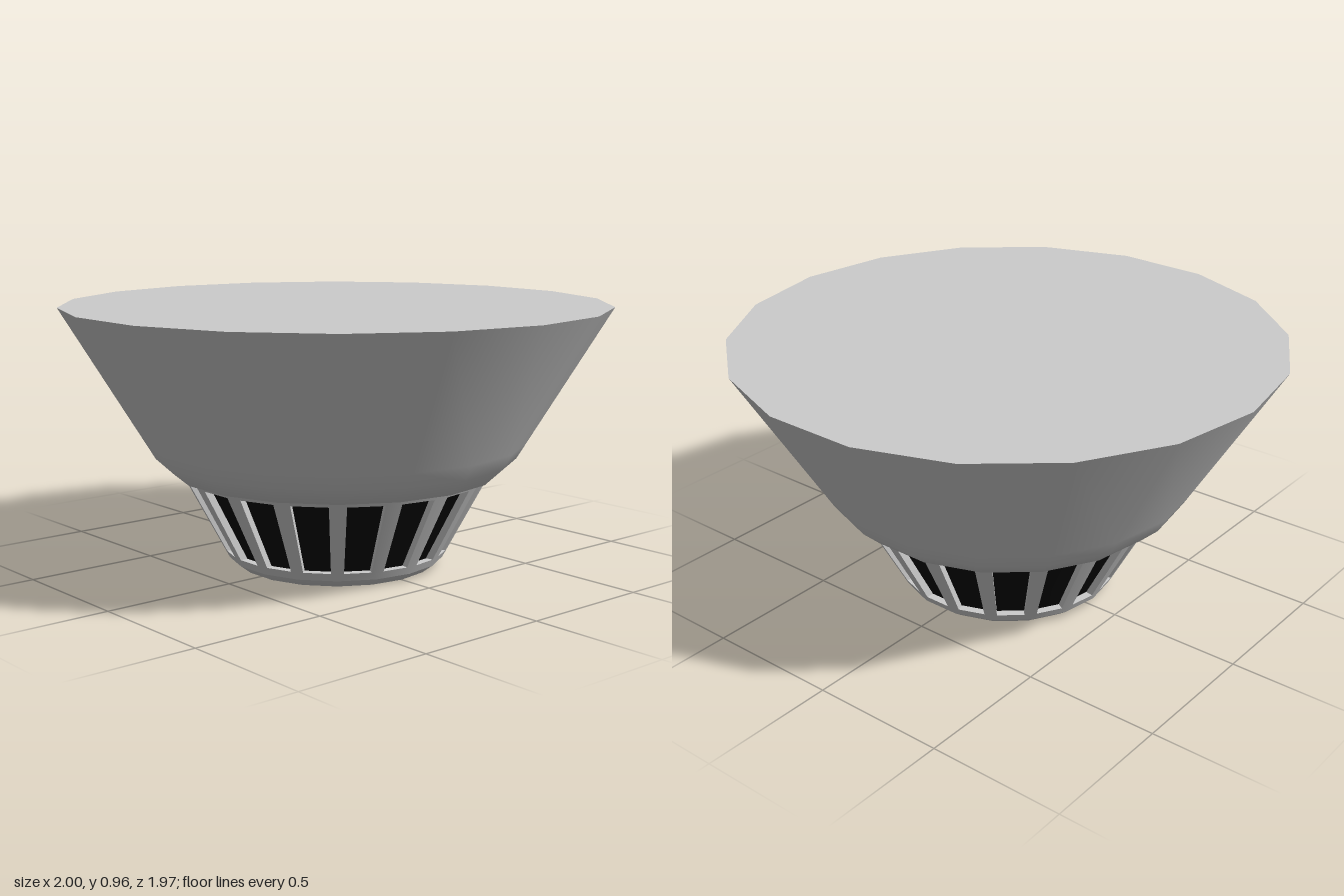
import * as THREE from 'three';
import { mergeGeometries } from 'three/addons/utils/BufferGeometryUtils.js';

const SIDES = 18;
const STEP = (Math.PI * 2) / SIDES;
const HALF = STEP / 2;

// Neck cone
const Y0 = 0.03, Y1 = 0.35, R0 = 0.4, R1 = 0.57;
const SLOPE = (R1 - R0) / (Y1 - Y0);
const neckRadius = (y) => R0 + (y - Y0) * SLOPE;

// Windows in the neck
const WIN_LOW = 0.06, WIN_HIGH = 0.33, WIN_FRACTION = 0.68, DEPTH = 0.03;

// Eighteen-sided turned surface with a flat side to the front
function turned(profile) {
  const points = profile.map(([r, y]) => new THREE.Vector2(r, y));
  return new THREE.LatheGeometry(points, SIDES, HALF);
}

// Point on side k of the neck: u runs from -1 to 1 across the side
function neckPoint(k, u, y, inset = 0) {
  const phi = k * STEP, r = neckRadius(y);
  const out = r * Math.cos(HALF) - inset;
  const across = u * r * Math.sin(HALF);
  return new THREE.Vector3(
    out * Math.sin(phi) + across * Math.cos(phi), y,
    out * Math.cos(phi) - across * Math.sin(phi));
}

// Rounded cone normal at the same place
function neckNormal(k, u) {
  const a = k * STEP + u * HALF;
  return new THREE.Vector3(Math.sin(a), -SLOPE, Math.cos(a)).normalize();
}

// Neck with a framed opening in every side
function cageGeometry() {
  const positions = [], normals = [];
  const quad = (p, n) => {
    for (const i of [0, 1, 2, 0, 2, 3]) {
      positions.push(...p[i].toArray());
      normals.push(...n[i].toArray());
    }
  };
  const corners = (k, u, low, high, inset) =>
    [[-u, low], [u, low], [u, high], [-u, high]].map(([a, y]) => neckPoint(k, a, y, inset));
  const cornerNormals = (k, u) => [-u, u, u, -u].map((a) => neckNormal(k, a));

  for (let k = 0; k < SIDES; k++) {
    const outer = corners(k, 1, Y0, Y1, 0);
    const rim = corners(k, WIN_FRACTION, WIN_LOW, WIN_HIGH, 0);
    const back = corners(k, WIN_FRACTION, WIN_LOW, WIN_HIGH, DEPTH);
    const outerN = cornerNormals(k, 1), rimN = cornerNormals(k, WIN_FRACTION);
    for (let i = 0; i < 4; i++) {
      const j = (i + 1) % 4;
      quad([outer[i], outer[j], rim[j], rim[i]], [outerN[i], outerN[j], rimN[j], rimN[i]]);
      // Flat wall of the opening
      const n = rim[j].clone().sub(rim[i]).cross(back[j].clone().sub(rim[j])).normalize();
      quad([rim[i], rim[j], back[j], back[i]], [n, n, n, n]);
    }
  }
  const g = new THREE.BufferGeometry();
  g.setAttribute('position', new THREE.Float32BufferAttribute(positions, 3));
  g.setAttribute('normal', new THREE.Float32BufferAttribute(normals, 3));
  return g;
}

export function createModel() {
  const group = new THREE.Group();
  const grey = new THREE.MeshStandardMaterial({ color: 0xcccccc });
  const dark = new THREE.MeshStandardMaterial({ color: 0x050505 });
  const add = (name, geometry, material) => {
    const mesh = new THREE.Mesh(geometry, material);
    mesh.name = name;
    group.add(mesh);
  };

  // Flared bowl with a flat lid
  add('bowl', mergeGeometries([
    turned([[0.54, Y1], [0.6, Y1], [0.665, 0.41], [0.7, 0.468], [1, 0.965]]),
    turned([[1, 0.965], [0, 0.965]]),
  ]), grey);

  // Slotted neck and the dark core behind its openings
  add('slottedNeck', cageGeometry(), grey);
  const inset = DEPTH / Math.cos(HALF);
  add('darkCore', turned([0.04, 0.345].map((y) => [neckRadius(y) - inset, y])), dark);

  // Bevelled foot
  add('foot', turned([[0, 0], [0.33, 0], [0.36, 0], [R0, Y0]]), grey);

  return group;
}
